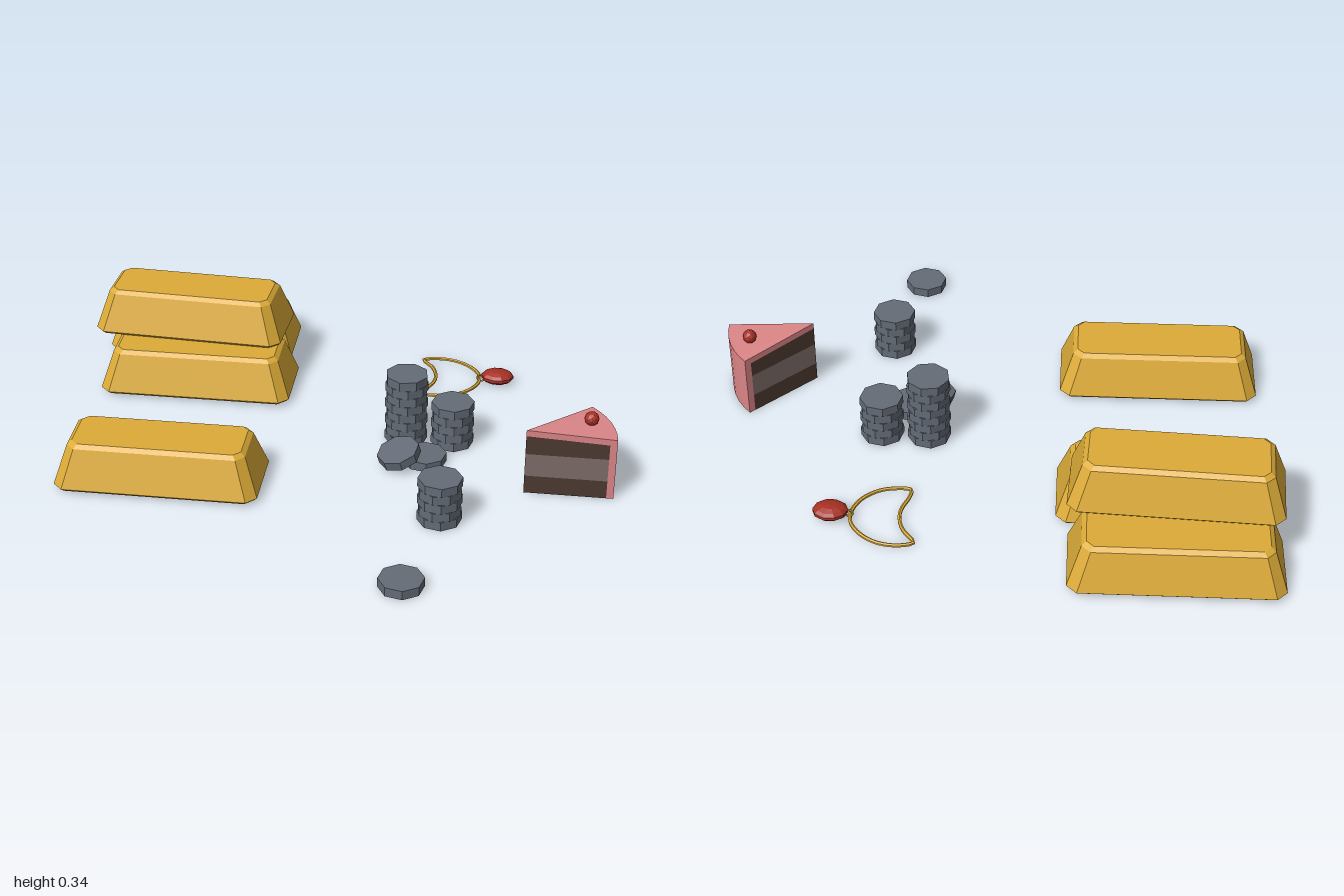
import * as THREE from 'three';

const mat = (name, color, flatShading = true) => {
  const m = new THREE.MeshStandardMaterial({ color, flatShading });
  m.name = name;
  return m;
};

const add = (parent, name, geometry, material, x = 0, y = 0, z = 0) => {
  const mesh = new THREE.Mesh(geometry, material);
  mesh.name = name;
  mesh.position.set(x, y, z);
  parent.add(mesh);
  return mesh;
};

// Stacked eight-cornered rings: [y, half length, half width, corner cut]
function ringSolid(rings) {
  const pos = [], index = [], n = 8;
  for (const [y, a, b, c] of rings) {
    const outline = [[a, -b + c], [a, b - c], [a - c, b], [-a + c, b], [-a, b - c], [-a, -b + c], [-a + c, -b], [a - c, -b]];
    for (const [x, z] of outline) pos.push(x, y, z);
  }
  for (let r = 0; r < rings.length - 1; r++) {
    for (let i = 0; i < n; i++) {
      const a = r * n + i, b = r * n + (i + 1) % n;
      index.push(a, a + n, b + n, a, b + n, b);
    }
  }
  const top = (rings.length - 1) * n;
  for (let i = 1; i < n - 1; i++) {
    index.push(0, i, i + 1, top, top + i + 1, top + i);
  }
  const g = new THREE.BufferGeometry();
  g.setAttribute('position', new THREE.Float32BufferAttribute(pos, 3));
  g.setIndex(index);
  const flat = g.toNonIndexed();
  flat.computeVertexNormals();
  return flat;
}

// Upright slab cut from a 45 degree circle sector, or from its outer rim
function sector(inner, outer, y0, y1) {
  const shape = new THREE.Shape();
  const steps = 6, at = (r, i) => [r * Math.cos(i / steps * Math.PI / 4), r * Math.sin(i / steps * Math.PI / 4)];
  shape.moveTo(inner, 0);
  for (let i = 0; i <= steps; i++) shape.lineTo(...at(outer, i));
  if (inner > 0) for (let i = steps; i > 0; i--) shape.lineTo(...at(inner, i));
  const g = new THREE.ExtrudeGeometry(shape, { depth: y1 - y0, bevelEnabled: false });
  return g.rotateX(-Math.PI / 2).translate(0, y0, 0);
}

// Lower the icing gently towards the rim
function slopeTop(g, from) {
  const p = g.attributes.position;
  for (let i = 0; i < p.count; i++) {
    if (p.getY(i) > from) p.setY(i, p.getY(i) - 0.05 * Math.hypot(p.getX(i), p.getZ(i)));
  }
  g.computeVertexNormals();
  return g;
}

export function createModel() {
  const model = new THREE.Group();
  model.name = 'treasure';
  const gold = mat('gold', 0xdcab38);
  const steel = mat('coin grey', 0x646c77);
  const pink = mat('pink icing', 0xdc8688);
  const brown = mat('dark sponge', 0x4c3a30);
  const cream = mat('pale filling', 0x7c6c68);
  const red = mat('gem red', 0xa83024);

  // Gold bars
  const barGeo = ringSolid([
    [0, 0.35, 0.148, 0.03],
    [0.012, 0.362, 0.16, 0.035],
    [0.152, 0.316, 0.114, 0.03],
    [0.165, 0.3, 0.098, 0.024],
  ]);
  const bars = new THREE.Group();
  bars.name = 'goldBars';
  model.add(bars);
  for (const [x, y, z, turn] of [
    [-0.635, 0.01, -0.757, 0],
    [-0.592, 0.01, -0.415, 0],
    [-0.635, 0.178, -0.565, -0.055],
    [-0.592, 0.01, 0.283, 0],
  ]) add(bars, 'goldBar', barGeo, gold, x, y, z).rotation.y = turn;

  // Coin stacks: x, z, number of coins
  const h = 0.0335;
  const coinGeo = new THREE.CylinderGeometry(0.078, 0.078, h, 8);
  const coins = new THREE.Group();
  coins.name = 'coins';
  model.add(coins);
  for (const [x, z, count] of [
    [0.235, -0.105, 8], [0.405, -0.1, 5], [0.405, 0.42, 5], [0.32, 0.05, 1], [0.318, 0.832, 1],
  ]) {
    for (let i = 0; i < count; i++) {
      const coin = add(coins, 'coin', coinGeo, steel, x, 0.003 + h * (i + 0.5), z);
      coin.rotation.y = 0.15 + (i % 2) * Math.PI / 8;
    }
  }
  // Coin leaning on its neighbour
  const leaning = add(coins, 'leaningCoin', coinGeo, steel, 0.23, 0.052, 0.09);
  leaning.rotation.set(0.12, 0.2, 0.27);

  // Slice of cake
  const cake = new THREE.Group();
  cake.name = 'cakeSlice';
  cake.position.set(0.682, 0, 0.212);
  model.add(cake);
  const R = 0.313, inner = 0.288;
  add(cake, 'lowerSponge', sector(0, inner, 0.003, 0.072), brown);
  add(cake, 'filling', sector(0, inner, 0.072, 0.16), cream);
  add(cake, 'upperSponge', slopeTop(sector(0, inner, 0.16, 0.232), 0.2), brown);
  add(cake, 'topIcing', slopeTop(sector(0, R, 0.232, 0.255), 0), pink);
  add(cake, 'rimIcing', slopeTop(sector(inner, R, 0.003, 0.232), 0.2), pink);
  add(cake, 'cherry', new THREE.IcosahedronGeometry(0.026, 1), red, 0.22, 0.262, -0.1);

  // Crescent necklace with its gem
  const necklace = new THREE.Group();
  necklace.name = 'necklace';
  model.add(necklace);
  const loop = [
    [0.245, -0.69], [0.3, -0.706], [0.37, -0.695], [0.43, -0.655], [0.467, -0.6], [0.472, -0.545],
    [0.445, -0.48], [0.39, -0.432], [0.33, -0.415], [0.275, -0.42],
    [0.278, -0.46], [0.3, -0.52], [0.303, -0.57], [0.285, -0.63], [0.255, -0.67],
  ].map(([x, z]) => new THREE.Vector3(x, 0.012, z));
  const path = new THREE.CatmullRomCurve3(loop, true);
  add(necklace, 'chain', new THREE.TubeGeometry(path, 60, 0.007, 6, true), gold);
  add(necklace, 'clasp', new THREE.TorusGeometry(0.014, 0.004, 5, 10), gold, 0.478, 0.02, -0.56);
  const gem = add(necklace, 'gem', new THREE.SphereGeometry(1, 10, 7), red, 0.541, 0.031, -0.56);
  gem.scale.set(0.063, 0.026, 0.051);

  return model;
}
